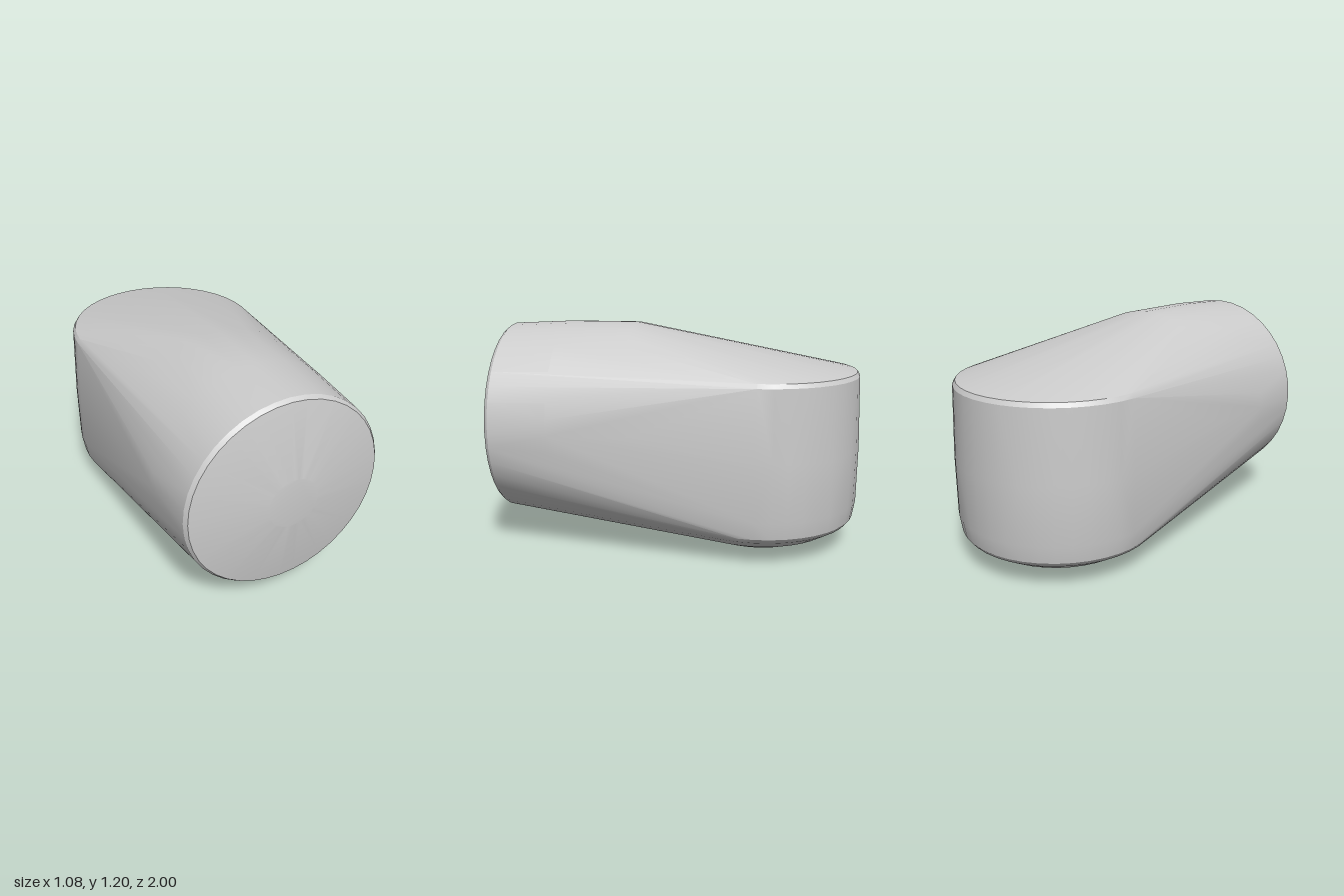
import * as THREE from 'three';
import { ConvexGeometry } from 'three/addons/geometries/ConvexGeometry.js';
import { toCreasedNormals } from 'three/addons/utils/BufferGeometryUtils.js';

const SIDES = 40;

// Calls add(cos, sin) for each step round a circle
function ring(add) {
  for (let i = 0; i < SIDES; i++) {
    const a = (i / SIDES) * Math.PI * 2;
    add(Math.cos(a), Math.sin(a));
  }
}

export function createModel() {
  const group = new THREE.Group();
  const points = [];

  // Horizontal barrel with a shallow conical nose: [z, radius]
  const barrel = [[1, 0.133], [0.93, 0.505], [0.91, 0.52], [0.6, 0.535], [0.22, 0.535]];
  for (const [z, r] of barrel) {
    ring((c, s) => points.push(new THREE.Vector3(r * c, 0.66 + r * s, z)));
  }

  // Upright rear drum with a domed base: [y, radius]
  const drum = [
    [0, 0.13], [0.011, 0.21], [0.037, 0.31], [0.08, 0.41], [0.135, 0.5], [0.16, 0.52],
    [0.25, 0.535], [0.55, 0.538], [0.93, 0.526], [0.952, 0.512],
  ];
  for (const [y, r] of drum) {
    ring((c, s) => points.push(new THREE.Vector3(r * c, y, -0.462 + r * s)));
  }

  // One skin stretched over both forms
  const body = new THREE.Mesh(
    toCreasedNormals(new ConvexGeometry(points), 0.4),
    new THREE.MeshStandardMaterial({ color: 0xcccccc })
  );
  body.name = 'body';
  group.add(body);
  return group;
}
